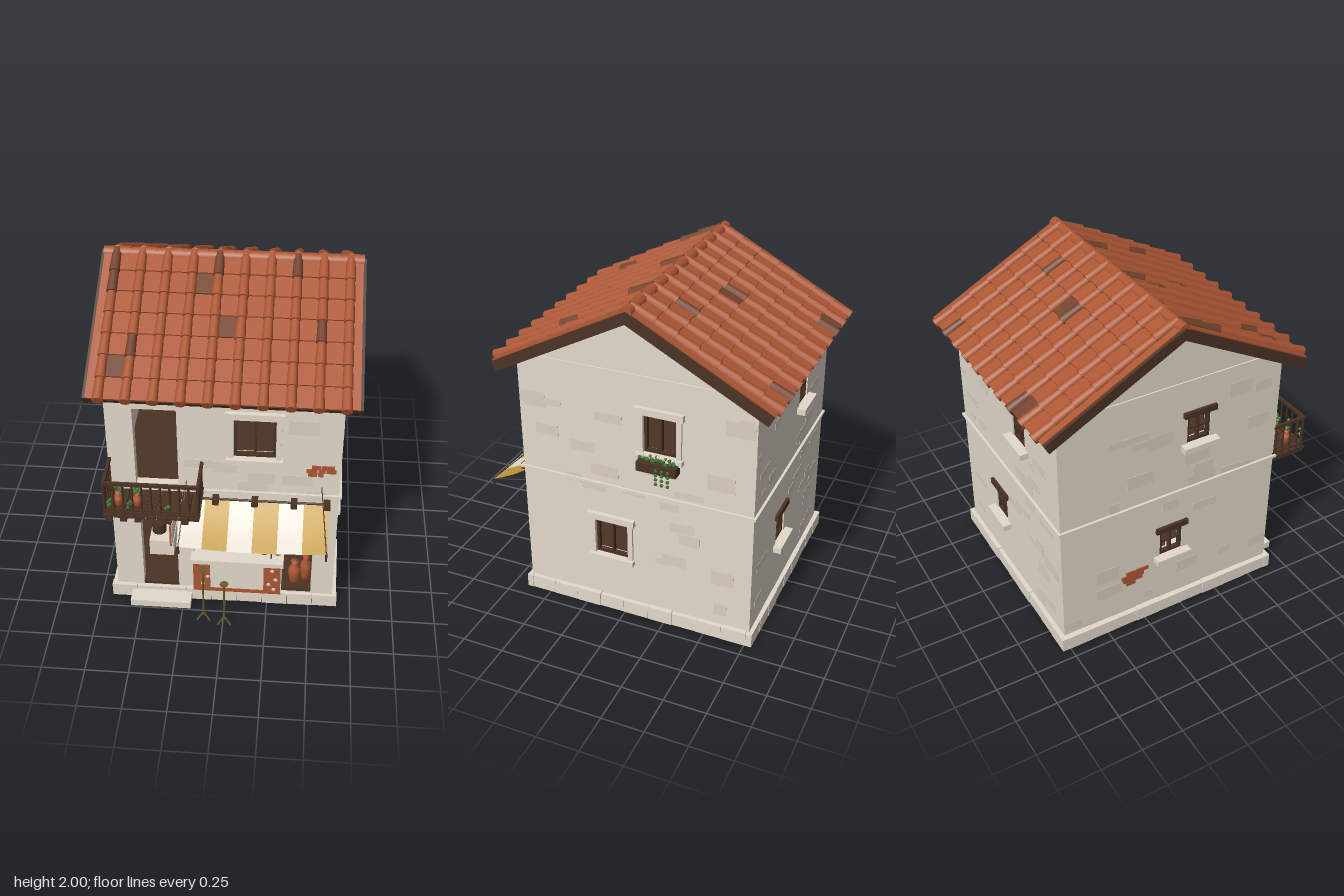
import * as THREE from 'three';

const mat = (name, color, side = THREE.FrontSide) => {
  const m = new THREE.MeshStandardMaterial({ color, side });
  m.name = name;
  return m;
};
const wall = mat('plaster', 0xe3dacb), patch = mat('wornPlaster', 0xdbd1c1);
const tile = mat('terracotta', 0xad5734), darkTile = mat('burntClay', 0x74442e);
const wood = mat('darkWood', 0x4b3324), yellow = mat('yellowCloth', 0xc29a3c, THREE.DoubleSide);
const cream = mat('creamCloth', 0xe4ddd0, THREE.DoubleSide), green = mat('leaf', 0x3c6f36);
const brass = mat('brass', 0x6e5a2a), base = mat('underside', 0x3a2a20);

function put(parent, name, geo, m, x = 0, y = 0, z = 0) {
  const mesh = new THREE.Mesh(geo, m);
  mesh.name = name;
  mesh.position.set(x, y, z);
  parent.add(mesh);
  return mesh;
}
// box given by its limits on each axis
const box = (p, name, m, x0, x1, y0, y1, z0, z1) => put(p, name,
  new THREE.BoxGeometry(x1 - x0, y1 - y0, z1 - z0), m, (x0 + x1) / 2, (y0 + y1) / 2, (z0 + z1) / 2);
function rod(p, name, m, a, b, r = 0.004) {
  const A = new THREE.Vector3(...a), B = new THREE.Vector3(...b), d = B.clone().sub(A);
  const mesh = put(p, name, new THREE.CylinderGeometry(r, r, d.length(), 6), m);
  mesh.position.copy(A).add(B).multiplyScalar(0.5);
  mesh.quaternion.setFromUnitVectors(new THREE.Vector3(0, 1, 0), d.normalize());
}
function group(parent, name, x = 0, y = 0, z = 0, ry = 0) {
  const g = new THREE.Group();
  g.name = name;
  g.position.set(x, y, z);
  g.rotation.y = ry;
  parent.add(g);
  return g;
}
function jar(p, name, m, x, y, z, h, r) {
  const pts = [[0, 0], [0.5, 0], [0.75, 0.2], [1, 0.5], [0.85, 0.7], [0.4, 0.85], [0.6, 1], [0, 1]];
  put(p, name, new THREE.LatheGeometry(pts.map(([a, b]) => new THREE.Vector2(a * r, b * h)), 12), m, x, y, z);
}
let seed = 7;
const rnd = () => (seed = (seed * 16807) % 2147483647) / 2147483647;
const leaf = (p, x, y, z, r) => put(p, 'leaves', new THREE.IcosahedronGeometry(r, 0), green, x, y, z);

// wall face with openings [u0, u1, v0, v1], its outside at local z = 0
function wallFace(g, pts, holes) {
  const s = new THREE.Shape(pts.map(p => new THREE.Vector2(...p)));
  for (const [a, b, c, d] of holes)
    s.holes.push(new THREE.Path([[a, c], [a, d], [b, d], [b, c]].map(p => new THREE.Vector2(...p))));
  put(g, 'wall', new THREE.ExtrudeGeometry(s, { depth: 0.06, bevelEnabled: false }), wall, 0, 0, -0.06);
  const u0 = pts[0][0], u1 = pts[1][0];
  box(g, 'stringCourse', wall, u0 - 0.015, u1 + 0.015, 0.852, 0.868, -0.01, 0.015);
  // worn plaster plates kept clear of the openings
  for (let i = 0; i < 26; i++) {
    const w = 0.06 + rnd() * 0.12, h = 0.04 + rnd() * 0.06;
    const u = u0 + rnd() * (u1 - u0 - w), v = 0.1 + rnd() * 1.3;
    if (holes.every(([a, b, c, d]) => u > b + 0.02 || u + w < a - 0.02 || v > d + 0.02 || v + h < c - 0.02))
      box(g, 'wornPatch', patch, u, u + w, v, v + h, -0.001, 0.001 + i * 0.00004);
  }
}
function casement(g, [a, b, c, d], cross) {
  const t = 0.016, m = (a + b) / 2, bar = (...l) => box(g, 'windowFrame', wood, ...l, -0.035, -0.008);
  bar(a, a + t, c, d);
  bar(b - t, b, c, d);
  bar(a, b, c, c + t);
  bar(a, b, d - t, d);
  bar(m - 0.006, m + 0.006, c, d);
  if (cross) bar(a, b, (c + d) / 2 - 0.006, (c + d) / 2 + 0.006);
}
function stoneWindow(g, h) {
  const [a, b, c, d] = h;
  casement(g, h, false);
  box(g, 'lintel', wall, a - 0.045, b + 0.045, d, d + 0.04, -0.01, 0.028);
  box(g, 'sill', wall, a - 0.04, b + 0.04, c - 0.03, c, -0.03, 0.035);
  for (const [p, q] of [[a - 0.03, a], [b, b + 0.03]]) box(g, 'jamb', wall, p, q, c, d, -0.01, 0.014);
}
function smallWindow(g, h) {
  const [a, b, c, d] = h;
  casement(g, h, true);
  box(g, 'woodLintel', wood, a - 0.03, b + 0.03, d, d + 0.035, -0.02, 0.02);
  box(g, 'sill', wall, a - 0.04, b + 0.04, c - 0.035, c, -0.03, 0.05);
}
// exposed bricks, listed as [u, v, width]
const bricks = (g, list) => list.forEach(([u, v, w]) => box(g, 'brick', tile, u, u + w, v, v + 0.024, -0.002, 0.008));

function addRoof(root) {
  const a = 28 * Math.PI / 180, L = 0.92, rows = 7, step = L / rows;
  // burnt tiles by 'column,row'
  const burntPan = [['3,1', '4,3', '0,5'], ['4,2', '7,6']], burntCap = [['0,0', '0,1', '4,0', '7,0', '8,3', '1,4'], ['5,2', '2,1', '1,6', '7,6']];
  for (const k of [0, 1]) {
    const g = group(group(root, k ? 'roofBack' : 'roofFront', -0.005, 1.975, -0.065, k * Math.PI), 'slope');
    g.rotation.x = a;
    box(g, 'roofDeck', wood, -0.71, 0.71, -0.034, -0.004, 0, L - 0.01);
    box(g, 'eaveFascia', wood, -0.71, 0.71, -0.055, -0.004, L - 0.03, L - 0.008);
    for (const s of [-1, 1]) put(g, 'rakeBoard', new THREE.BoxGeometry(0.022, 0.06, L), wood, s * 0.72, -0.03, L / 2);
    for (let i = 0; i < 10; i++) {
      if (i < 9) box(g, 'rafter', wood, -0.6 + i * 0.147, -0.577 + i * 0.147, -0.068, -0.03, 0.05, 0.885);
      for (let r = 0; r < rows; r++) {
        const z = (r + 0.5) * step, x = -0.645 + i * 0.1433, id = i + ',' + r;
        if (i < 9) put(g, 'panTile', new THREE.BoxGeometry(0.142, 0.014, step + 0.012),
          burntPan[k].includes(id) ? darkTile : tile, x + 0.0717, 0.004, z).rotation.x = -0.07;
        const cap = put(g, 'capTile', new THREE.CylinderGeometry(0.031, 0.025, step + 0.02, 10),
          burntCap[k].includes(id) ? darkTile : tile, x, 0.007, z + 0.006);
        cap.rotation.x = Math.PI / 2 - 0.04;
      }
    }
    for (const s of [-1, 1]) box(g, 'edgeTile', tile, s * 0.68 - 0.035, s * 0.68 + 0.035, -0.004, 0.008, 0, L);
  }
  for (let i = 0; i < 10; i++) {
    const c = put(root, 'ridgeTile', new THREE.CylinderGeometry(0.033, 0.037, 0.15, 10), tile, -0.65 + i * 0.1433, 1.963, -0.065);
    c.rotation.z = Math.PI / 2;
  }
}

function addPlinth(root) {
  const P = [-0.685, 0.67, -0.798, 0.66], t = 0.04;
  box(root, 'underside', base, -0.648, 0.632, 0.055, 0.08, -0.762, 0.625);
  box(root, 'groundFloor', wood, -0.64, 0.63, 0.08, 0.1, -0.76, 0.626);
  const run = (lo, hi, n, make) => {
    const w = (hi - lo) / n;
    for (let i = 0; i < n; i++) make(lo + i * w + 0.001, lo + (i + 1) * w - 0.001, (i % 3) * 0.002);
  };
  run(P[0], P[1], 9, (a, b, j) => {
    box(root, 'plinthStone', wall, a, b, 0, 0.087 - j, P[3] - t, P[3] - j);
    box(root, 'plinthStone', wall, a, b, 0, 0.087 - j, P[2] + j, P[2] + t);
  });
  run(P[2] + t, P[3] - t, 9, (a, b, j) => {
    box(root, 'plinthStone', wall, P[0] + j, P[0] + t, 0, 0.087 - j, a, b);
    box(root, 'plinthStone', wall, P[1] - t, P[1] - j, 0, 0.087 - j, a, b);
  });
  box(root, 'doorStep', wall, -0.56, -0.2, 0.015, 0.06, 0.63, 0.755);
}

function addBalcony(root) {
  const g = group(root, 'balcony'), x0 = -0.65, x1 = -0.118, z1 = 0.857;
  for (let i = 0; i < 9; i++) box(g, 'balconyPlank', wood, x0 + i * 0.0591, x0 + i * 0.0591 + 0.055, 0.828, 0.845, 0.63, z1 + 0.012);
  box(g, 'balconyEdge', wood, x0, x1, 0.845, 0.858, z1 - 0.018, z1);
  for (const x of [-0.62, -0.54, -0.46, -0.31, -0.2]) box(g, 'joist', wood, x - 0.018, x + 0.018, 0.802, 0.83, 0.62, 0.87);
  for (const [y, h] of [[1.045, 0.018], [0.868, 0.01]]) {
    box(g, 'rail', wood, x0, x1, y, y + h, z1 - 0.018, z1);
    for (const x of [x0, x1 - 0.018]) box(g, 'rail', wood, x, x + 0.018, y, y + h, 0.63, z1);
  }
  for (let i = 0; i <= 10; i++) rod(g, 'baluster', wood, [x0 + 0.009 + i * 0.0514, 0.845, z1 - 0.009], [x0 + 0.009 + i * 0.0514, 1.05, z1 - 0.009], i % 10 ? 0.006 : 0.01);
  for (const x of [x0 + 0.009, x1 - 0.009]) for (let i = 0; i < 4; i++) rod(g, 'baluster', wood, [x, 0.845, 0.655 + i * 0.052], [x, 1.05, 0.655 + i * 0.052], 0.006);
  for (const x of [-0.575, -0.47]) {
    jar(g, 'flowerPot', tile, x, 0.845, 0.785, 0.1, 0.03);
    for (let i = 0; i < 6; i++) leaf(g, x + (rnd() - 0.5) * 0.06, 0.94 + rnd() * 0.04, 0.785 + (rnd() - 0.5) * 0.06, 0.014);
  }
  for (const x of [-0.61, -0.5, -0.29]) for (let i = 0; i < 4; i++) leaf(g, x + (rnd() - 0.5) * 0.04, 0.89 + rnd() * 0.06, 0.85 + rnd() * 0.015, 0.011);
}

function addAwning(root) {
  const g = group(root, 'awning');
  for (let k = 0; k < 6; k++) {
    const geo = new THREE.PlaneGeometry(0.139, 1, 4, 6), p = geo.attributes.position;
    for (let i = 0; i < p.count; i++) {
      const x = p.getX(i) - 0.18 + k * 0.139, t = 0.5 - p.getY(i);
      const sag = 0.02 * t * Math.sin(Math.PI * (x + 0.25) / 0.834);
      p.setXYZ(i, x, 0.805 - 0.14 * t - sag - 0.012 * Math.sin(Math.PI * t), 0.64 + 0.262 * t);
    }
    geo.computeVertexNormals();
    put(g, 'awningStripe', geo, k % 2 ? yellow : cream);
  }
  rod(g, 'awningRail', wood, [-0.29, 0.808, 0.65], [0.59, 0.808, 0.65], 0.007);
  for (const x of [-0.05, 0.17, 0.39, 0.575]) box(g, 'beamEnd', wood, x - 0.018, x + 0.018, 0.795, 0.832, 0.62, 0.69);
  for (const [x, e] of [[-0.215, -0.24], [0.54, 0.58]]) {
    rod(g, 'rope', wood, [x, 0.92, 0.636], [e, 0.665, 0.9], 0.003);
    rod(g, 'strut', wood, [e, 0.665, 0.9], [e, 0.72, 0.636], 0.004);
    rod(g, 'weight', wood, [e, 0.61, 0.897], [e, 0.665, 0.897], 0.007);
  }
  // hanging goods
  for (const x of [-0.09, 0.08, 0.42]) {
    for (const s of [-1, 1]) rod(g, 'chain', wood, [x, 0.63, 0.74], [x + s * 0.02, 0.58, 0.74], 0.002);
    put(g, 'hangingPan', new THREE.CylinderGeometry(0.024, 0.014, 0.012, 10), brass, x, 0.575, 0.74);
  }
  for (const x of [0.03, 0.295]) for (const s of [-1, 1])
    put(g, 'sausage', new THREE.CapsuleGeometry(0.011, 0.04, 3, 8), tile, x + s * 0.012, 0.565, 0.66).rotation.z = s * 0.4;
  // hanging board beside the awning
  box(g, 'boardFrame', tile, -0.29, -0.28, 0.628, 0.772, 0.655, 0.862);
  box(g, 'boardFace', cream, -0.293, -0.277, 0.634, 0.766, 0.661, 0.856);
  box(g, 'boardBracket', wood, -0.291, -0.279, 0.79, 0.805, 0.63, 0.865);
  for (const z of [0.68, 0.84]) rod(g, 'boardHook', wood, [-0.285, 0.77, z], [-0.285, 0.79, z], 0.003);
}

function addShop(root) {
  const g = group(root, 'shop');
  box(g, 'counter', wall, -0.185, 0.335, 0.085, 0.35, 0.5, 0.695);
  box(g, 'counterTop', wall, -0.2, 0.345, 0.345, 0.375, 0.48, 0.71);
  for (const l of [[-0.185, -0.085, 0.12, 0.345], [0.23, 0.33, 0.12, 0.345], [-0.085, 0.23, 0.12, 0.145], [-0.085, 0.23, 0.335, 0.345]])
    box(g, 'counterPanel', tile, ...l, 0.694, 0.699);
  for (const [x, y] of [[-0.14, 0.29], [-0.1, 0.24], [-0.13, 0.18], [0.28, 0.31], [0.3, 0.24], [0.26, 0.2], [0.29, 0.16]])
    put(g, 'paintedPetal', new THREE.CylinderGeometry(0.013, 0.013, 0.003, 5), cream, x, y, 0.7).rotation.x = Math.PI / 2;
  // stepped display and shelf posts
  for (let i = 0; i < 3; i++) {
    const y = 0.375 + i * 0.033, z = 0.56 - i * 0.06;
    box(g, 'displayStep', wood, -0.175, 0.31, y, y + 0.022, 0.36, z);
    box(g, 'displayTop', tile, -0.175, 0.31, y + 0.022, y + 0.033, 0.36, z + 0.008);
    if (i < 2) for (let x = -0.14; x < 0.3; x += 0.07) jar(g, 'cup', i ? tile : darkTile, x, y + 0.033, z - 0.025, 0.025, 0.016);
  }
  for (const x of [-0.17, 0.305]) box(g, 'shelfPost', tile, x - 0.006, x + 0.006, 0.375, 0.57, 0.36, 0.372);
  for (const [a, b] of [[-0.176, 0.06], [0.23, 0.311]]) box(g, 'shelf', tile, a, b, 0.555, 0.568, 0.34, 0.39);
  // balance scale
  rod(g, 'scalePost', brass, [0.27, 0.375, 0.66], [0.27, 0.56, 0.66], 0.005);
  rod(g, 'scaleBeam', brass, [0.23, 0.54, 0.66], [0.31, 0.54, 0.66], 0.003);
  for (const x of [0.23, 0.31]) {
    rod(g, 'scaleChain', brass, [x, 0.42, 0.66], [x, 0.54, 0.66], 0.002);
    put(g, 'scalePan', new THREE.CylinderGeometry(0.022, 0.012, 0.01, 10), brass, x, 0.415, 0.66);
  }
  box(g, 'threshold', wood, 0.335, 0.51, 0.095, 0.112, 0.48, 0.638);
  box(g, 'threshold', wood, -0.49, -0.28, 0.09, 0.112, 0.575, 0.638);
  jar(g, 'amphora', tile, 0.41, 0.11, 0.58, 0.18, 0.04);
  jar(g, 'amphora', tile, 0.475, 0.11, 0.55, 0.2, 0.036);
  // ground and upper room furniture
  box(g, 'wallShelf', wood, -0.59, -0.5, 0.465, 0.477, -0.01, 0.09);
  jar(g, 'shelfJar', tile, -0.545, 0.477, 0.045, 0.05, 0.024);
  box(g, 'bench', wall, -0.49, -0.34, 0.1, 0.215, 0.1, 0.4);
  put(g, 'barrel', new THREE.CylinderGeometry(0.045, 0.045, 0.07, 12), wood, -0.44, 0.25, 0.3);
  box(g, 'chest', wood, -0.52, -0.24, 0.87, 0.985, -0.4, -0.1);
  box(g, 'chestCover', tile, -0.52, -0.24, 0.985, 1.02, -0.4, -0.1);
}

function addStand(root, x, z, h) {
  const g = group(root, 'tripodStand', x, 0, z);
  rod(g, 'standPost', brass, [0, 0.04, 0], [0, h, 0], 0.006);
  put(g, 'standDish', new THREE.CylinderGeometry(0.026, 0.01, 0.018, 10), brass, 0, h, 0);
  for (let i = 0; i < 3; i++) {
    const a = i * Math.PI * 2 / 3 + 0.5;
    rod(g, 'standLeg', brass, [0, 0.06, 0], [0.045 * Math.cos(a), 0.012, 0.045 * Math.sin(a)], 0.005);
  }
}

export function createModel() {
  const root = new THREE.Group();
  root.name = 'shopHouse';
  const H = Math.PI / 2, tall = [0.05, 0.28, 1.11, 1.38];
  const rect = (a, b) => [[a, 0.07], [b, 0.07], [b, 1.565], [a, 1.565]];
  const gable = (a, b, r) => [[a, 0.07], [b, 0.07], [b, 1.57], [r, 1.932], [a, 1.57]];

  const front = group(root, 'frontWall', 0, 0, 0.636);
  wallFace(front, rect(-0.65, 0.64), [[-0.49, -0.28, 0.1, 0.64], [-0.18, 0.51, 0.1, 0.74], [-0.5, -0.26, 0.875, 1.405], tall]);
  stoneWindow(front, tall);
  box(front, 'doorLintel', wall, -0.57, -0.2, 0.64, 0.69, -0.03, 0.03);
  bricks(front, [[0.48, 1.05, 0.05], [0.535, 1.05, 0.07], [0.45, 1.025, 0.06], [0.515, 1.025, 0.04], [0.56, 1.025, 0.055], [0.46, 1, 0.05], [0.515, 1, 0.03]]);

  const sideHoles = [[0.125, 0.32, 1.13, 1.37], [-0.185, 0.02, 0.38, 0.62]];
  const right = group(root, 'windowBoxWall', 0.64, 0, 0, H);
  wallFace(right, gable(-0.636, 0.77, 0.065), sideHoles);
  sideHoles.forEach(h => stoneWindow(right, h));
  box(right, 'gableBand', wall, -0.625, 0.76, 1.563, 1.592, -0.01, 0.008);
  box(right, 'windowBox', wood, 0.11, 0.345, 1.052, 1.108, 0.018, 0.08);
  for (let i = 0; i < 18; i++) leaf(right, 0.13 + i * 0.0115, 1.112 + rnd() * 0.03, 0.03 + rnd() * 0.04, 0.012);
  for (let i = 0; i < 5; i++) put(right, 'blossom', new THREE.IcosahedronGeometry(0.009, 0), i % 2 ? tile : cream, 0.14 + i * 0.045, 1.145, 0.05);
  for (let i = 0; i < 12; i++) leaf(right, 0.23 + (i % 3) * 0.035, 1.08 - Math.floor(i / 3) * 0.028, 0.085, 0.011);

  const small = (u, y) => [u - 0.075, u + 0.075, y, y + 0.18];
  const left = group(root, 'brickPatchWall', -0.65, 0, 0, -H), leftHoles = [small(0.1, 1.175), small(-0.06, 0.42)];
  wallFace(left, gable(-0.77, 0.636, -0.065), leftHoles);
  box(left, 'gableBand', wall, -0.76, 0.625, 1.563, 1.592, -0.01, 0.008);
  bricks(left, [[-0.36, 0.36, 0.06], [-0.295, 0.36, 0.08], [-0.39, 0.335, 0.07], [-0.315, 0.335, 0.07], [-0.38, 0.31, 0.05], [-0.325, 0.31, 0.07], [-0.36, 0.285, 0.06]]);
  const back = group(root, 'backWall', 0, 0, -0.77, Math.PI), backHoles = [small(0.18, 1.175), small(-0.145, 0.42)];
  wallFace(back, rect(-0.64, 0.65), backHoles);
  leftHoles.forEach(h => smallWindow(left, h));
  backHoles.forEach(h => smallWindow(back, h));

  box(root, 'upperFloor', wood, -0.6, 0.59, 0.83, 0.87, -0.72, 0.58);
  addPlinth(root);
  addRoof(root);
  addBalcony(root);
  addAwning(root);
  addShop(root);
  addStand(root, -0.115, 0.816, 0.4);
  addStand(root, 0.01, 0.843, 0.32);
  return root;
}
